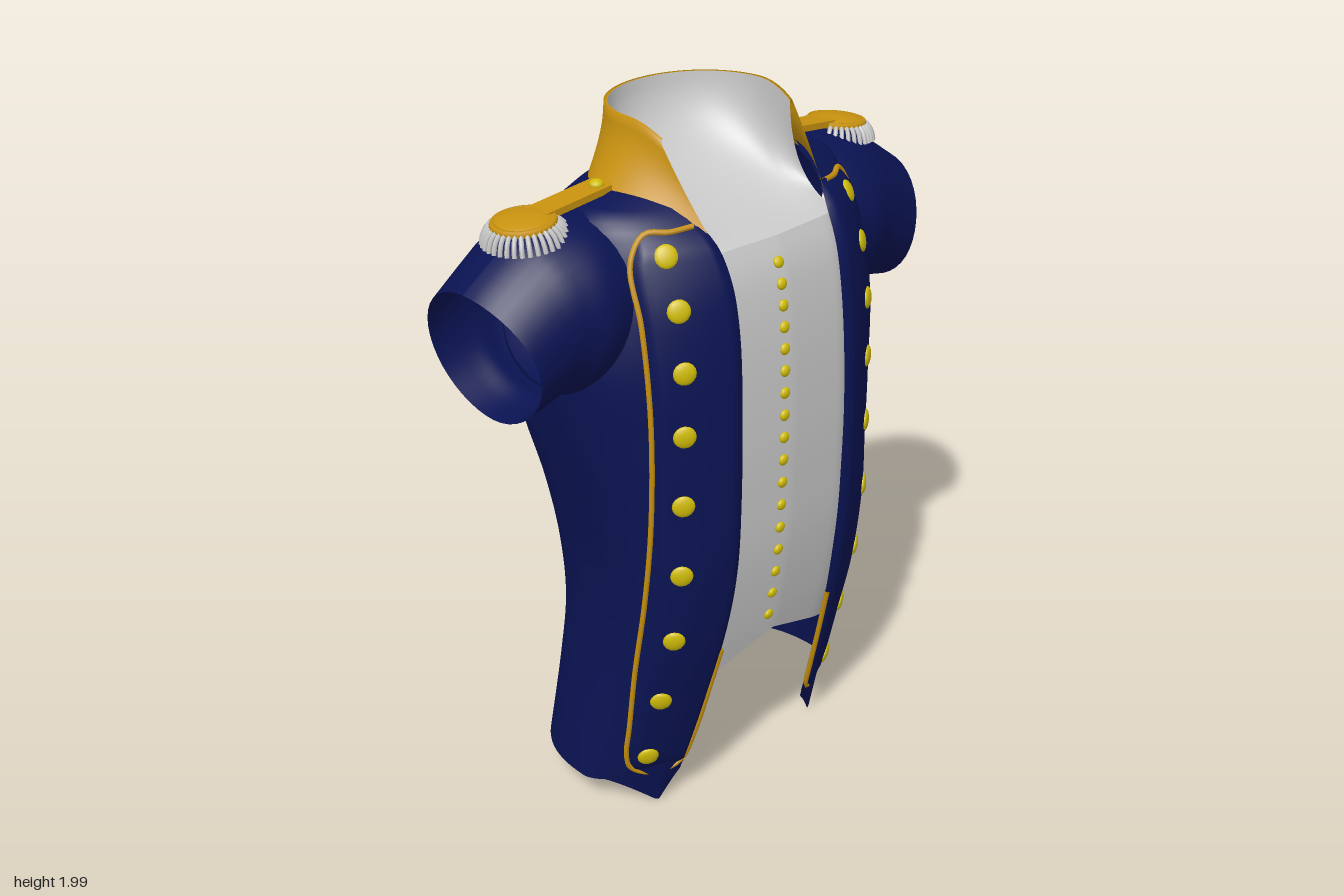
import * as THREE from 'three';

const mat = (color) => new THREE.MeshStandardMaterial({ color, side: THREE.DoubleSide });
const navy = mat(0x0a1352), gold = mat(0xc8920f), brass = mat(0xd0bc08), grey = mat(0xcccccc);

// Smooth lookup in rows of [y, a, b, ...], column k
function look(rows, y, k) {
  const n = rows.length - 1;
  let i = 0;
  while (i < n - 1 && y > rows[i + 1][0]) i++;
  const slope = (j) => {
    const p = rows[Math.max(0, j - 1)], q = rows[Math.min(n, j + 1)];
    return (q[k] - p[k]) / (q[0] - p[0]);
  };
  const a = rows[i], b = rows[i + 1], h = b[0] - a[0];
  const t = THREE.MathUtils.clamp((y - a[0]) / h, 0, 1), t2 = t * t, t3 = t2 * t;
  return a[k] * (2 * t3 - 3 * t2 + 1) + b[k] * (3 * t2 - 2 * t3)
    + h * (slope(i) * (t3 - 2 * t2 + t) + slope(i + 1) * (t3 - t2));
}

// Sheet of quads from f(u, v) -> [x, y, z]; quads whose corners all satisfy hole() are left out
function sheet(nu, nv, f, hole = () => false) {
  const pts = [], idx = [];
  for (let j = 0; j <= nv; j++) for (let i = 0; i <= nu; i++) pts.push(f(i / nu, j / nv));
  for (let j = 0; j < nv; j++) for (let i = 0; i < nu; i++) {
    const a = j * (nu + 1) + i, b = a + 1, c = a + nu + 1, d = c + 1;
    if (![a, b, c, d].every((n) => hole(...pts[n]))) idx.push(a, b, d, a, d, c);
  }
  const g = new THREE.BufferGeometry();
  g.setAttribute('position', new THREE.Float32BufferAttribute(pts.flat(), 3));
  g.setIndex(idx);
  g.computeVertexNormals();
  return g;
}

// Torso sections: height, half width, front depth, back depth, front and back squareness
const torso = [
  [0.1, 0.48, 0.21, 0.36, 1.7, 2.5], [0.4, 0.445, 0.27, 0.31, 2.6, 2.5], [0.6, 0.43, 0.31, 0.287, 3.2, 2.5],
  [0.8, 0.44, 0.343, 0.29, 3, 2.6], [1.0, 0.47, 0.363, 0.31, 2.4, 2.8], [1.2, 0.51, 0.374, 0.343, 2, 3.2],
  [1.4, 0.535, 0.367, 0.36, 1.88, 3.7], [1.55, 0.515, 0.35, 0.352, 1.88, 3.7], [1.65, 0.485, 0.325, 0.315, 1.9, 3.2],
  [1.75, 0.45, 0.265, 0.26, 2, 2.6], [1.8, 0.42, 0.21, 0.235, 2, 2.3], [1.83, 0.31, 0.18, 0.225, 2, 2.2],
];
// Front opening and outer lapel edge: height, x
const opening = [[0.1, 0.255], [0.45, 0.225], [0.75, 0.203], [1.2, 0.2], [1.7, 0.2], [1.83, 0.25]];
const lapelEdge = [[0.12, 0.36], [0.14, 0.393], [0.2, 0.412], [1.0, 0.405], [1.55, 0.41], [1.7, 0.4], [1.77, 0.36]];

const frontZ = (x, y) => {
  const r = Math.min(0.99, Math.abs(x) / look(torso, y, 1)), n = look(torso, y, 4);
  return look(torso, y, 2) * (1 - r ** n) ** (1 / n);
};
const frontNormal = (x, y) => {
  const e = 0.01;
  return new THREE.Vector3((frontZ(x - e, y) - frontZ(x + e, y)) / (2 * e),
    (frontZ(x, y - e) - frontZ(x, y + e)) / (2 * e), 1).normalize();
};
const onFront = (x, y, off) => new THREE.Vector3(x, y, frontZ(x, y)).addScaledVector(frontNormal(x, y), off);
const vestZ = (x, y) => frontZ(Math.max(0.2, Math.abs(x)), y) - 0.014 + 0.012 * Math.max(0, 1 - Math.abs(x) / 0.2);

// Armhole ellipse in the side plane: below 1 is inside
const armhole = (y, z) => Math.hypot((y - 1.535) / 0.185, (z + 0.037) / 0.205);

// Horseshoe round the neck, open to the front; u runs -1..1
function horseshoe(u, half, back, front, frontX) {
  const s = Math.sign(u), a = Math.abs(u), mid = -0.03;
  if (a < 0.6) {
    const t = (a / 0.6) * Math.PI / 2;
    return [s * half * Math.sin(t), mid - (back + mid) * Math.cos(t)];
  }
  const t = (a - 0.6) / 0.4;
  return [s * THREE.MathUtils.lerp(half, frontX, t * t), THREE.MathUtils.lerp(mid, front, t)];
}
const straight = (u) => Math.max(0, (Math.abs(u) - 0.6) / 0.4);
const collarTop = (u, inset) => {
  const [x, z] = horseshoe(u, 0.247 - inset, 0.25 - inset, 0.09, 0.238 - inset);
  return [x, 2 - 0.035 * straight(u) ** 2, z];
};
const collarBase = (u) => {
  const [x, z] = horseshoe(u, 0.325, 0.25, 0.235, 0.215);
  return [x, 1.815 - 0.065 * straight(u) ** 2, z];
};

export function createModel() {
  const model = new THREE.Group();
  const add = (name, geometry, material, parent = model) => {
    const m = new THREE.Mesh(geometry, material);
    m.name = name;
    parent.add(m);
    return m;
  };
  const stud = (name, p, normal, r, flat) => {
    const m = add(name, new THREE.SphereGeometry(r, 14, 8), brass);
    m.scale.z = flat;
    m.position.copy(p);
    m.quaternion.setFromUnitVectors(new THREE.Vector3(0, 0, 1), normal);
  };

  // Coat body, open in front, with armholes, a back seam and pointed front tails
  add('coatBody', sheet(140, 84, (u, v) => {
    const y = 0.1 + 1.73 * v, [w, zf, zb, nf, nb] = [1, 2, 3, 4, 5].map((k) => look(torso, y, k));
    const q = look(opening, y, 1) / w, a0 = Math.atan2(q, (1 - q ** nf) ** (1 / nf));
    const a = a0 + (2 * Math.PI - 2 * a0) * u, s = Math.sin(a), c = Math.cos(a), n = c > 0 ? nf : nb;
    const r = (Math.abs(s) ** n + Math.abs(c) ** n) ** (-1 / n), x = w * s * r;
    const z = c > 0 ? zf * c * r : zb * c * r + 0.008 * Math.exp(-((x / 0.03) ** 2));
    const d = Math.abs(x) - 0.32, tail = c > 0 ? 0.1 * Math.max(0, 1 - (d > 0 ? d / 0.13 : -d / 0.07)) ** 1.2 : 0;
    const h = armhole(y, z);
    if (Math.abs(x) > 0.3 && h < 1) return [x, 1.535 + (y - 1.535) / h, -0.037 + (z + 0.037) / h];
    return [x, y - tail * Math.max(0, 1 - v * 8), z];
  }, (x, y, z) => Math.abs(x) > 0.3 && armhole(y, z) < 1.001), navy);

  // Waistcoat front with notched hem
  add('waistcoat', sheet(32, 48, (u, v) => {
    const x = (u - 0.5) * 0.56 * (1 - 0.1 * v), hem = 0.52 - 0.36 * Math.abs(x);
    const y = THREE.MathUtils.lerp(hem, 1.7, v);
    return [x, y, vestZ(x, y)];
  }), grey);

  // Neck lining sweeping from the waistcoat top up to the collar rim
  add('neckLining', sheet(48, 20, (u, v) => {
    const k = u * 2 - 1, p = collarTop(k, 0.008), x = 0.252 * k;
    const q = [x, 1.7, vestZ(x, 1.7)], c = [p[0] * 1.06, 1.75, p[2] * 0.95];
    return p.map((_, i) => (1 - v) ** 2 * p[i] + 2 * v * (1 - v) * c[i] + v * v * q[i]);
  }), grey);

  // Standing collar, with a thin rolled rim
  add('collar', sheet(64, 8, (u, v) => {
    const k = u * 2 - 1, b = collarBase(k), t = collarTop(k, 0);
    if (v === 1) return collarTop(k, 0.01);
    const h = v / 0.875, lean = Math.sin(h * Math.PI / 2);
    return [THREE.MathUtils.lerp(b[0], t[0], lean), THREE.MathUtils.lerp(b[1], t[1], h), THREE.MathUtils.lerp(b[2], t[2], h)];
  }), gold);

  // Waistcoat buttons
  for (let i = 0; i < 17; i++) {
    const t = i / 16, y = 1.64 - 1.055 * (0.82 * t + 0.18 * t * t), x = -0.02 - 0.018 * Math.sin(t * 2.2);
    stud('waistcoatButton', new THREE.Vector3(x, y, vestZ(x, y) + 0.002), frontNormal(x, y), 0.016, 0.6);
  }

  // Sleeve rings: position, top x, top y, bottom x, bottom y, back z, front z
  const rings = [
    [0, 0.35, 1.8, 0.43, 1.335, -0.26, 0.175], [0.3, 0.47, 1.803, 0.53, 1.335, -0.278, 0.192],
    [0.55, 0.58, 1.785, 0.58, 1.343, -0.265, 0.175], [0.75, 0.65, 1.75, 0.635, 1.325, -0.25, 0.165],
    [1, 0.77, 1.67, 0.7, 1.31, -0.235, 0.155],
  ];

  for (const s of [1, -1]) {
    const side = s > 0 ? 'left' : 'right';

    // Short sleeve, its mouth cut back at the front
    add(side + 'Sleeve', sheet(40, 20, (u, v) => {
      const [tx, ty, bx, by, zb, zf] = [1, 2, 3, 4, 5, 6].map((k) => look(rings, v, k));
      const a = u * Math.PI * 2, m = (1 - Math.cos(a)) / 2, cut = 0.035 * v * Math.max(0, Math.sin(a)) ** 2;
      return [s * (tx + (bx - tx) * m - cut), ty + (by - ty) * m, (zb + zf) / 2 + (zf - zb) / 2 * Math.sin(a)];
    }), navy);

    // Raised lapel panel
    add(side + 'Lapel', sheet(18, 70, (u, v) => {
      const y = 0.12 + 1.65 * v, inner = look(opening, y, 1) - 0.003, outer = look(lapelEdge, y, 1);
      const x = THREE.MathUtils.lerp(inner, outer, u);
      const p = onFront(x, y, 0.016 * Math.min(1, 10 * Math.min(u, 1 - u), 40 * Math.min(v, 1 - v)));
      return [s * p.x, p.y, p.z];
    }), navy);

    // Gold piping round the lapel
    const edge = [[0.24, 1.77], [0.3, 1.765], [0.355, 1.765]];
    for (const y of [1.7, 1.55, 1.3, 1.0, 0.75, 0.5, 0.3, 0.2, 0.15]) edge.push([look(lapelEdge, y, 1), y]);
    edge.push([0.35, 0.115], [0.3, 0.115], [0.262, 0.14]);
    for (const y of [0.25, 0.4, 0.55]) edge.push([look(opening, y, 1), y]);
    const path = new THREE.CatmullRomCurve3(edge.map(([x, y]) => {
      const p = onFront(x, y, 0.004);
      return p.setX(p.x * s);
    }), false, 'centripetal');
    add(side + 'Piping', new THREE.TubeGeometry(path, 160, 0.008, 6), gold);

    // Lapel buttons
    [1.72, 1.59, 1.43, 1.255, 1.055, 0.845, 0.63, 0.41, 0.195].forEach((y, i) => {
      const x = 0.328 + 0.0045 * i, p = onFront(x, y, 0.016), n = frontNormal(x, y);
      p.x *= s;
      n.x *= s;
      stud(side + 'LapelButton', p.setY(y), n, 0.031, 0.35);
    });

    // Epaulette: strap, domed pad, hanging fringe and button
    const ep = new THREE.Group();
    ep.name = side + 'Epaulette';
    ep.position.set(s * 0.57, 1.803, -0.045);
    ep.rotation.set(0, s > 0 ? 0 : Math.PI, s > 0 ? -0.1 : 0.1, 'ZYX');
    model.add(ep);
    const strap = add('strap', new THREE.BoxGeometry(0.25, 0.018, 0.075), gold, ep);
    strap.position.set(-0.135, 0.005, 0);
    const pad = add('pad', new THREE.SphereGeometry(0.08, 28, 12), gold, ep);
    pad.scale.y = 0.24;
    const rim = add('rim', new THREE.TorusGeometry(0.076, 0.01, 6, 28), gold, ep);
    rim.rotation.x = Math.PI / 2;
    for (let i = 0; i < 30; i++) {
      const a = -2.6 + 5.2 * i / 29, c = Math.cos(a), d = Math.sin(a);
      const curve = new THREE.QuadraticBezierCurve3(new THREE.Vector3(0.074 * c, 0, 0.074 * d),
        new THREE.Vector3(0.1 * c, -0.002, 0.1 * d), new THREE.Vector3(0.109 * c, -0.045, 0.109 * d));
      add('fringe', new THREE.TubeGeometry(curve, 4, 0.0065, 5), grey, ep);
    }
    const end = add('strapEnd', new THREE.CylinderGeometry(0.0375, 0.0375, 0.018, 16), gold, ep);
    end.position.set(-0.235, 0.005, 0);
    stud(side + 'StrapButton', new THREE.Vector3(s * 0.335, 1.842, -0.04), new THREE.Vector3(0, 1, 0), 0.02, 0.7);
  }
  return model;
}
